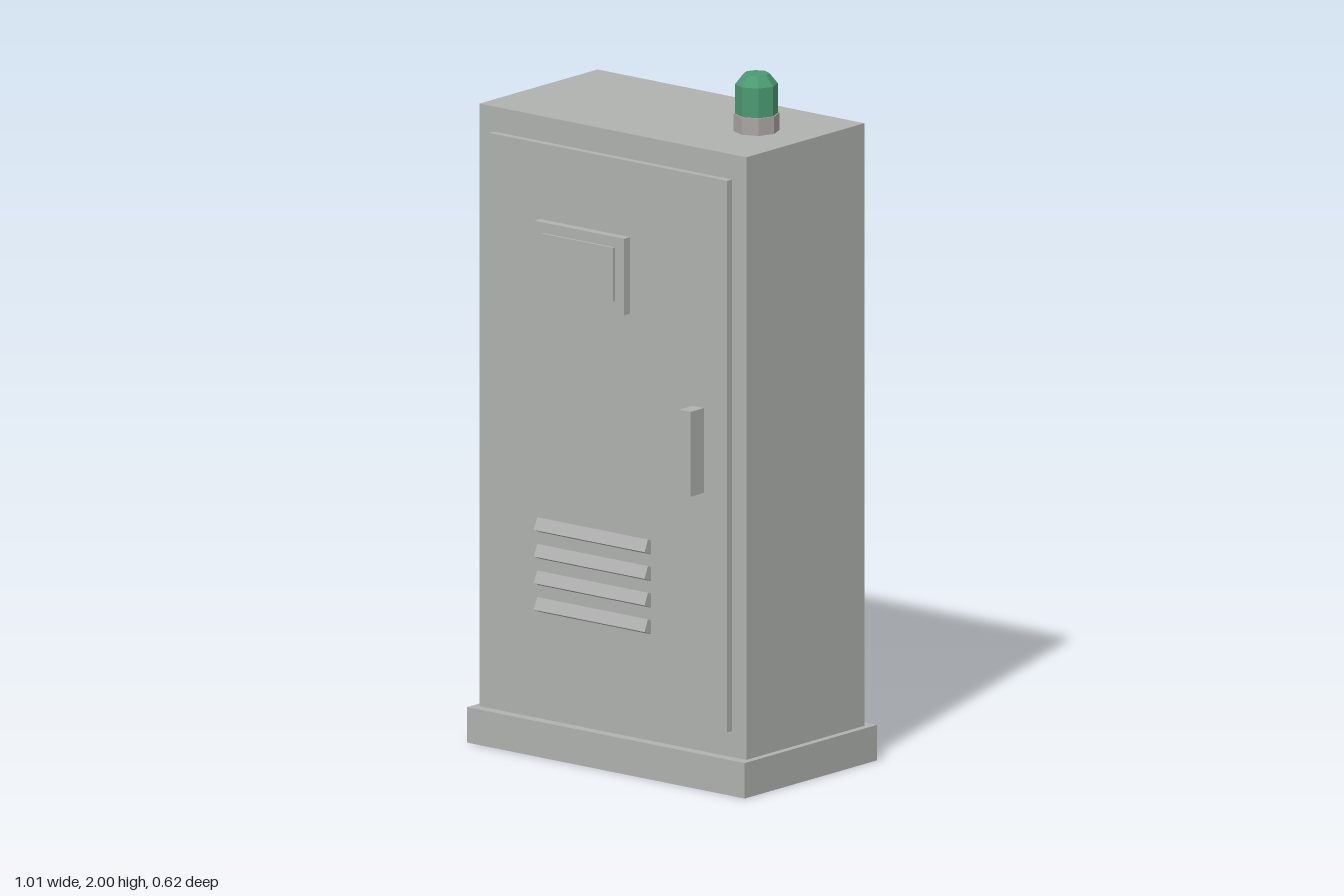
import * as THREE from 'three';

const paint = (name, color) => {
  const m = new THREE.MeshStandardMaterial({ color, flatShading: true });
  m.name = name;
  return m;
};

export function createModel() {
  const grey = paint('cabinet grey', 0xb0b2b0);
  const collarGrey = paint('collar grey', 0xaaa5a2);
  const green = paint('beacon green', 0x4a9a72);
  const model = new THREE.Group();
  model.name = 'electricalCabinet';

  const add = (name, geometry, material) => {
    const mesh = new THREE.Mesh(geometry, material);
    mesh.name = name;
    model.add(mesh);
    return mesh;
  };
  // Box given by its lower and upper limits on each axis
  const box = (name, x0, x1, y0, y1, z0, z1) =>
    add(name, new THREE.BoxGeometry(x1 - x0, y1 - y0, z1 - z0), grey)
      .position.set((x0 + x1) / 2, (y0 + y1) / 2, (z0 + z1) / 2);

  // Housing and plinth
  box('plinth', -0.505, 0.505, 0, 0.102, -0.313, 0.263);
  box('housing', -0.485, 0.485, 0.102, 1.835, -0.282, 0.232);

  // Door with its fittings
  box('door', -0.433, 0.433, 0.177, 1.763, 0.232, 0.253);
  box('displayFrame', -0.247, 0.08, 1.325, 1.545, 0.253, 0.279);
  box('displayPanel', -0.215, 0.046, 1.36, 1.515, 0.279, 0.287);
  box('handle', 0.307, 0.348, 0.852, 1.096, 0.253, 0.311);

  // Tilted vent slats
  for (let i = 0; i < 4; i++) {
    const slat = add('ventSlat', new THREE.BoxGeometry(0.403, 0.037, 0.029), grey);
    slat.position.set(-0.045, 0.438 + i * 0.0765, 0.261);
    slat.rotation.x = -0.4;
  }

  // Eight-sided beacon on the roof
  const ring = (name, rTop, rBottom, y0, y1, material) =>
    add(name, new THREE.CylinderGeometry(rTop, rBottom, y1 - y0, 8), material)
      .position.set(0.308, (y0 + y1) / 2, -0.024);
  ring('beaconCollar', 0.064, 0.064, 1.835, 1.885, collarGrey);
  ring('beaconLens', 0.06, 0.06, 1.885, 1.97, green);
  ring('beaconCap', 0.036, 0.06, 1.97, 2, green);

  return model;
}
